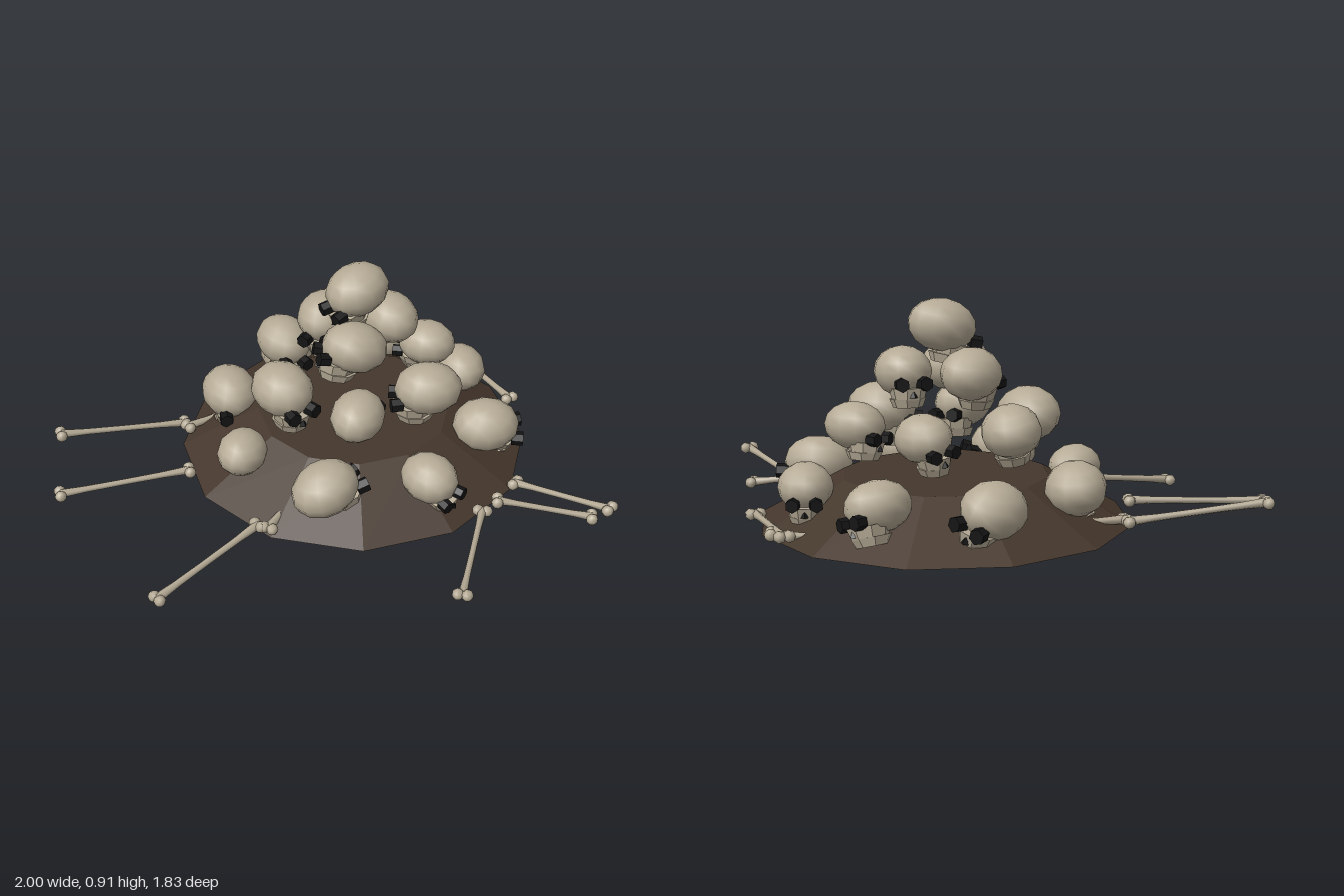
import * as THREE from 'three';

const boneMat = new THREE.MeshStandardMaterial({ color: 0xb5aa95 });
const boneFlat = new THREE.MeshStandardMaterial({ color: 0xb5aa95, flatShading: true });
const darkMat = new THREE.MeshStandardMaterial({ color: 0x141414, flatShading: true });
const earthMat = new THREE.MeshStandardMaterial({ color: 0x45372c, flatShading: true });

function add(parent, name, geometry, material, x = 0, y = 0, z = 0) {
  const mesh = new THREE.Mesh(geometry, material);
  mesh.name = name;
  mesh.position.set(x, y, z);
  parent.add(mesh);
  return mesh;
}

// Shared skull parts, one unit wide and facing +z
const craniumGeo = new THREE.SphereGeometry(0.5, 12, 8).scale(1, 0.88, 1.18);
const socketGeo = new THREE.CylinderGeometry(0.125, 0.125, 0.2, 6).rotateX(Math.PI / 2);
const noseGeo = new THREE.ConeGeometry(0.07, 0.14, 4);
const upperJawGeo = new THREE.CylinderGeometry(0.34, 0.29, 0.2, 8).rotateY(Math.PI / 8).scale(0.95, 1, 1.1);
const lowerJawGeo = new THREE.CylinderGeometry(0.31, 0.25, 0.15, 8).rotateY(Math.PI / 8).scale(1, 1, 1.15);

function makeSkull([x, y, z, width, dirX, dirZ, pitch, roll]) {
  const skull = new THREE.Group();
  skull.name = 'skull';
  add(skull, 'cranium', craniumGeo, boneMat);
  add(skull, 'upperJaw', upperJawGeo, boneFlat, 0, -0.37, 0.25);
  add(skull, 'lowerJaw', lowerJawGeo, boneFlat, 0, -0.53, 0.22);
  add(skull, 'nose', noseGeo, darkMat, 0, -0.36, 0.57);
  for (const side of [-1, 1]) {
    const socket = add(skull, 'eyeSocket', socketGeo, darkMat, side * 0.2, -0.2, 0.56);
    socket.rotation.y = side * 0.15;
  }
  skull.position.set(x, y, z);
  skull.scale.setScalar(width);
  skull.rotation.set(-pitch, Math.atan2(dirX, dirZ), roll, 'YXZ');
  return skull;
}

// Shaft between two points, with a pair of knobs at each end
function makeBone(from, to) {
  const a = new THREE.Vector3(...from), b = new THREE.Vector3(...to);
  const axis = b.clone().sub(a);
  const length = axis.length();
  const bone = new THREE.Group();
  bone.name = 'longBone';
  const profile = [[0.019, -0.5], [0.014, -0.3], [0.013, 0], [0.014, 0.3], [0.019, 0.5]];
  add(bone, 'shaft', new THREE.LatheGeometry(profile.map(([r, t]) => new THREE.Vector2(r, t * length)), 6), boneMat);
  const knobGeo = new THREE.SphereGeometry(0.024, 7, 5);
  for (const end of [-1, 1]) {
    for (const side of [-1, 1]) add(bone, 'knob', knobGeo, boneMat, side * 0.018, end * length / 2, 0);
  }
  // Knob pairs lie flat, across the shaft
  axis.normalize();
  const across = new THREE.Vector3(0, 1, 0).cross(axis).normalize();
  bone.quaternion.setFromRotationMatrix(new THREE.Matrix4().makeBasis(across, axis, across.clone().cross(axis)));
  bone.position.copy(a).add(b).multiplyScalar(0.5);
  return bone;
}

export function createModel() {
  const model = new THREE.Group();
  model.name = 'skullPile';

  // Earth mound
  add(model, 'mound', new THREE.CylinderGeometry(0.4, 0.72, 0.18, 12), earthMat, 0.25, 0.16, -0.2);

  // Skulls: x, y, z, width, facing x, facing z, pitch, roll
  const skulls = [
    // ground ring
    [0.255, 0.23, -0.74, 0.235, 21, -14, 0, -0.3],
    [0.635, 0.24, -0.58, 0.22, 24, -8, 0, 0.3],
    [0.8, 0.24, -0.2, 0.21, 8, -26, 0, 0],
    [0.645, 0.24, 0.19, 0.235, 22, 12, 0, 0.35],
    [0.25, 0.235, 0.35, 0.21, 6, 24, -0.1, 0.25],
    [-0.14, 0.24, 0.19, 0.24, 26, 2, 0.3, 0],
    [-0.29, 0.23, -0.2, 0.2, 18, -14, 0, 0.1],
    [-0.13, 0.24, -0.58, 0.235, -7, 27, 0, -0.1],
    // second ring
    [0.43, 0.45, -0.48, 0.205, -7, -23, 0, 0.15],
    [0.6, 0.455, -0.18, 0.205, -18, -22, 0, -0.1],
    [0.41, 0.46, 0.1, 0.235, -20, -11, 0, 0],
    [0.07, 0.455, 0.1, 0.215, 20, -14, 0.1, 0.1],
    [-0.09, 0.46, -0.21, 0.24, 3, 30, 0, 0],
    [0.1, 0.46, -0.51, 0.225, -2, 25, 0, -0.2],
    // third ring
    [0.19, 0.65, -0.33, 0.225, -19, 15, 0, 0.1],
    [0.41, 0.65, -0.18, 0.22, 0, -28, 0.1, 0],
    [0.165, 0.65, -0.07, 0.23, -26, -10, 0.25, 0.1],
    // crown
    [0.26, 0.82, -0.2, 0.23, -28, 1, -0.2, 0],
  ];
  skulls.forEach((s) => model.add(makeSkull(s)));

  // Long bones scattered round the foot, the last three partly buried
  const bones = [
    [[-0.83, 0.17, -0.775], [-0.32, 0.11, -0.64]],
    [[-0.97, 0.1, -0.5], [-0.46, 0.11, -0.345]],
    [[-0.9, 0.035, 0.195], [-0.4, 0.11, 0.105]],
    [[0.04, 0.115, 0.87], [0.4, 0.11, 0.51]],
    [[0.49, 0.11, 0.49], [0.795, 0.05, 0.72]],
    [[0.635, 0.09, 0.42], [0.78, 0.175, 0.83]],
    [[0.945, 0.125, -0.45], [0.955, 0.11, -0.04]],
    [[0.97, 0.11, -0.345], [0.48, 0.06, -0.47]],
    [[-0.375, 0.11, 0.145], [0.05, 0.12, -0.1]],
    [[-0.32, 0.11, -0.61], [0.18, 0.12, -0.6]],
  ];
  bones.forEach(([from, to]) => model.add(makeBone(from, to)));

  return model;
}
